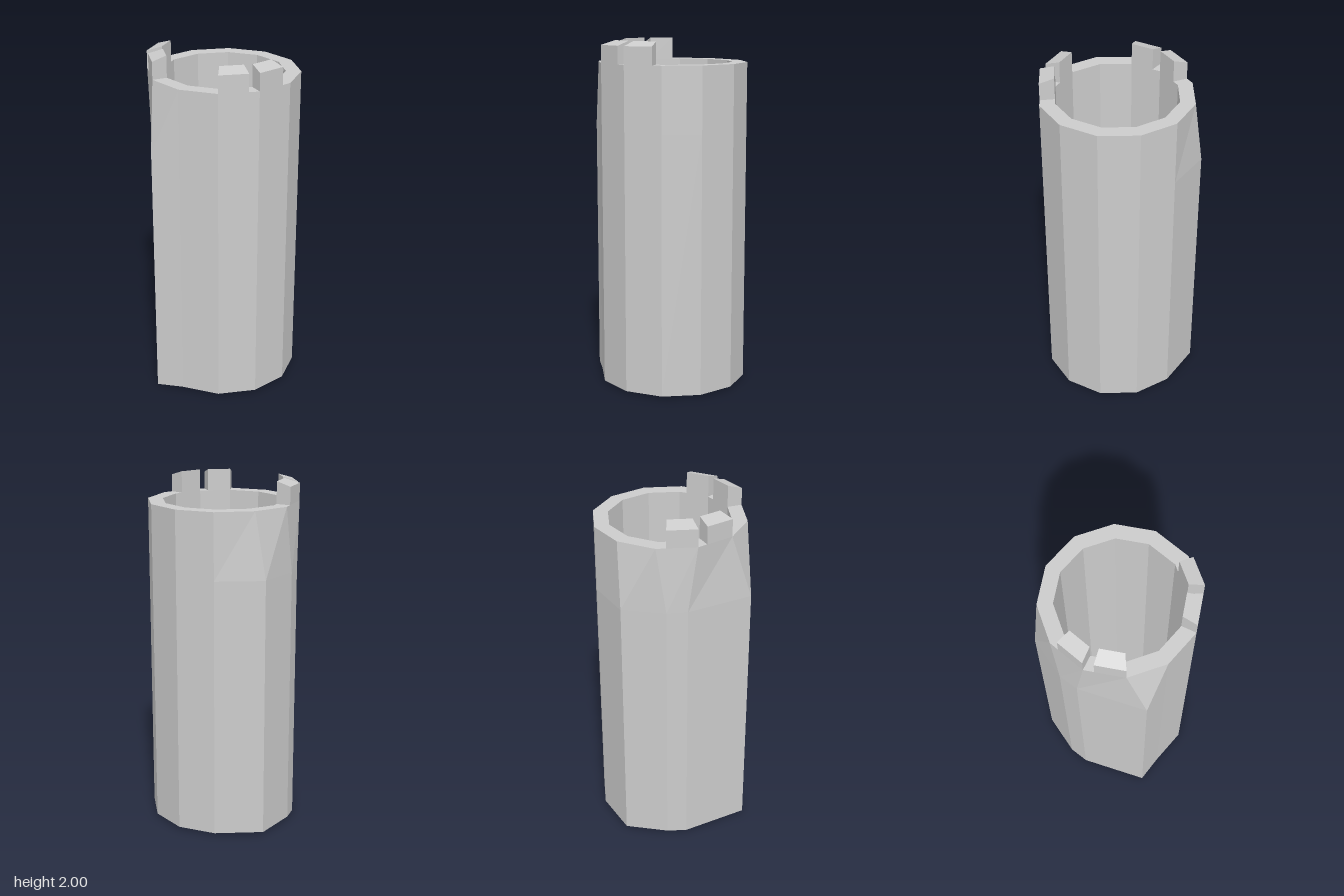
import * as THREE from 'three';

const SIDES = 12, OUTER = 0.43, INNER = 0.345, CZ = -0.027;
const BASE = 0.01, BEND = 1.5, RIM = 1.875;

// point on the twelve-sided ring; k = 0 faces the front
function ringPoint(k, radius, y) {
  const a = (k * Math.PI * 2) / SIDES;
  return new THREE.Vector3(Math.sin(a) * radius, y, Math.cos(a) * radius + CZ);
}

// flat-shaded mesh from four-cornered faces
function quadMesh(name, quads) {
  const pts = [];
  for (const [a, b, c, d] of quads) pts.push(a, b, c, a, c, d);
  const geo = new THREE.BufferGeometry().setFromPoints(pts);
  geo.computeVertexNormals();
  const mesh = new THREE.Mesh(geo, new THREE.MeshStandardMaterial({ color: 0xcccccc, flatShading: true }));
  mesh.name = name;
  return mesh;
}

// corners of the lower wall that bulge out of the ring: [x, z, base height]
const bulges = {
  8: [-0.43, -0.22, BASE],
  9: [-0.432, 0.03, BASE],
  10: [-0.395, 0.14, 0],
  11: [-0.155, 0.452, 0],
};

// closed wall section: inner base, outer base, bend, outer rim, inner rim
function section(k) {
  const b = bulges[k];
  return [
    ringPoint(k, INNER, BASE),
    b ? new THREE.Vector3(b[0], b[2], b[1]) : ringPoint(k, OUTER, BASE),
    b ? new THREE.Vector3(b[0], BEND, b[1]) : ringPoint(k, OUTER, BEND),
    ringPoint(k, OUTER, RIM),
    ringPoint(k, INNER, RIM),
  ];
}

function tube() {
  const quads = [];
  for (let k = 0; k < SIDES; k++) {
    const p = section(k), q = section((k + 1) % SIDES);
    for (let i = 0; i < p.length; i++) {
      const j = (i + 1) % p.length;
      quads.push([p[i], q[i], q[j], p[j]]);
    }
  }
  return quadMesh('tubeWall', quads);
}

// tooth on one ring edge, its top sloping down to the outside
function tooth(name, edge, length, side) {
  const end = (t, radius, y) => {
    const p = ringPoint(edge, radius, y).lerp(ringPoint(edge + 1, radius, y), t);
    p.x *= side;
    return p;
  };
  const face = (t) => [end(t, INNER, RIM), end(t, OUTER, RIM), end(t, OUTER, 1.975), end(t, INNER, 2)];
  const [p, q] = side > 0 ? [face(0), face(length)] : [face(length), face(0)];
  const quads = [[p[3], p[0], p[1], p[2]], [q[3], q[2], q[1], q[0]]];
  for (let i = 0; i < 4; i++) {
    const j = (i + 1) % 4;
    quads.push([p[i], q[i], q[j], p[j]]);
  }
  return quadMesh(name, quads);
}

export function createModel() {
  const model = new THREE.Group();
  model.name = 'notchedTube';
  model.add(tube());
  for (const [side, label] of [[1, 'left'], [-1, 'right']]) {
    model.add(tooth(label + 'FrontTooth', 1, 0.74, side));
    model.add(tooth(label + 'SideTooth', 2, 0.75, side));
  }
  return model;
}
